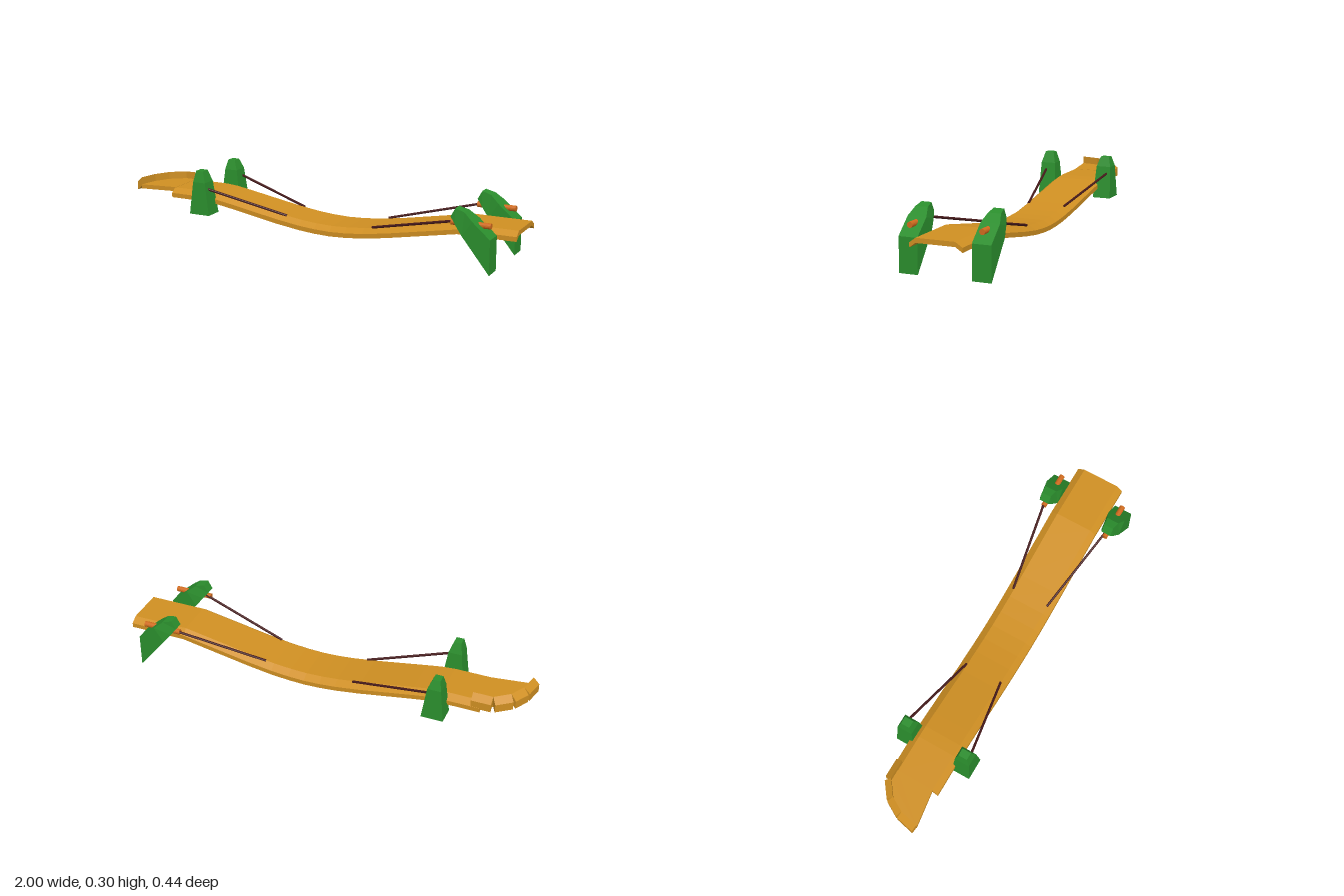
import * as THREE from 'three';

const flat = (name, color) => {
  const m = new THREE.MeshStandardMaterial({ color, flatShading: true });
  m.name = name;
  return m;
};

// Closed solid through cross-sections; every ring has the same even number of points.
function loft(rings) {
  const n = rings[0].length, tris = [];
  const quad = (a, b, c, d) => tris.push([a, b, c], [a, c, d]);
  for (let r = 0; r < rings.length - 1; r++) {
    for (let i = 0; i < n; i++) {
      const j = (i + 1) % n;
      quad(rings[r][i], rings[r][j], rings[r + 1][j], rings[r + 1][i]);
    }
  }
  const first = rings[0], last = rings[rings.length - 1];
  for (let i = 0; i < n / 2 - 1; i++) {
    const k = n - 1 - i;
    quad(first[k], first[k - 1], first[i + 1], first[i]);
    quad(last[i], last[i + 1], last[k - 1], last[k]);
  }
  // Turn the faces outward if the solid came out inverted
  const v = (p) => new THREE.Vector3(...p);
  const volume = tris.reduce((s, [a, b, c]) => s + v(a).dot(v(b).cross(v(c))), 0);
  if (volume < 0) tris.forEach((t) => t.reverse());
  const geo = new THREE.BufferGeometry();
  geo.setAttribute('position', new THREE.Float32BufferAttribute(tris.flat(2), 3));
  geo.computeVertexNormals();
  return geo;
}

export function createModel() {
  const model = new THREE.Group();
  model.name = 'saggingBridge';
  const wood = flat('golden wood', 0xcf8f22);
  const green = flat('post green', 0x2b8e2d);
  const pegOrange = flat('peg orange', 0xcf6b1d);
  const ropeBrown = flat('rope brown', 0x45191a);

  const add = (name, geo, mat) => {
    const m = new THREE.Mesh(geo, mat);
    m.name = name;
    model.add(m);
    return m;
  };
  const rod = (name, a, b, radius, sides, mat) => {
    const p = new THREE.Vector3(...a), q = new THREE.Vector3(...b);
    const m = add(name, new THREE.CylinderGeometry(radius, radius, p.distanceTo(q), sides), mat);
    m.position.copy(p).add(q).multiplyScalar(0.5);
    m.quaternion.setFromUnitVectors(new THREE.Vector3(0, 1, 0), q.sub(p).normalize());
  };

  // Deck: flat top with sloping edges, swept along a sagging line
  const profile = [[-0.13, -0.022], [-0.096, 0], [0.089, 0], [0.118, -0.022],
    [0.118, -0.044], [0.089, -0.022], [-0.096, -0.022], [-0.13, -0.044]];
  const sag = [[-0.79, 0.183], [-0.6, 0.183], [-0.54, 0.178], [-0.46, 0.165], [-0.2, 0.119],
    [-0.08, 0.102], [0, 0.095], [0.08, 0.092], [0.16, 0.095], [0.25, 0.103], [0.37, 0.121],
    [0.6, 0.163], [0.72, 0.185], [1, 0.185]];
  add('deck', loft(sag.map(([x, y]) => profile.map(([z, dy]) => [x, y + dy, z]))), wood);

  // Curved end: floor plate and raised sloping rim blocks
  const curve = [[-0.745, -0.098], [-0.84, -0.098], [-0.91, -0.045], [-0.95, 0.025], [-0.97, 0.115]];
  const outline = [[-0.785, -0.098], ...curve.slice(1), [-0.785, 0.089]];
  add('endFloor', loft([0.163, 0.184].map((y) => outline.map(([x, z]) => [x, y, z]))), wood);
  for (let i = 0; i < curve.length - 1; i++) {
    const [ax, az] = curve[i], [bx, bz] = curve[i + 1];
    const len = Math.hypot(bx - ax, bz - az);
    const ox = -(bz - az) / len * 0.031, oz = (bx - ax) / len * 0.031;
    const ring = ([x, z]) => [[x, 0.22, z], [x + ox, 0.194, z + oz],
      [x + ox, 0.154, z + oz], [x, 0.176, z]];
    add('rimBlock', loft([ring(curve[i]), ring(curve[i + 1])]), wood);
  }

  for (const side of [1, -1]) {
    // Tapered post: [y, x from, x to, z from, z to]
    const shift = side > 0 ? 0 : 0.006, drop = side > 0 ? 0 : 0.007;
    const levels = [[0.091, -0.64, -0.533, 0.102, 0.194], [0.25, -0.622, -0.556, 0.113, 0.187],
      [0.304 - drop, -0.612, -0.575, 0.128, 0.172]];
    add('taperedPost', loft(levels.map(([y, x0, x1, z0, z1]) =>
      [[x0, z0], [x1, z0], [x1, z1], [x0, z1]].map(([x, z]) => [x, y, side * (z + shift)]))), green);

    // Leaning leg: [top x, top y, top half width, bottom x, bottom y, bottom half width]
    const sections = [[0.74, 0.283, 0.024, 0.718, 0.243, 0.024], [0.785, 0.27, 0.03, 0.743, 0.211, 0.035],
      [0.828, 0.235, 0.045, 0.78, 0.165, 0.045], [0.912, 0.162, 0.045, 0.912, 0, 0.045]];
    const lz = side * 0.173;
    add('leaningLeg', loft(sections.map(([tx, ty, tw, bx, by, bw]) =>
      [[tx, ty, lz - tw], [tx, ty, lz + tw], [bx, by, lz + bw], [bx, by, lz - bw]])), green);

    // Peg through the leg
    rod('peg', [0.712, 0.212, side * 0.17], [0.9, 0.212, side * 0.17], 0.0135, 16, pegOrange);

    // Ropes from the supports down to the deck
    const high = side > 0 ? 0.163 : -0.176, low = side > 0 ? 0.088 : -0.1;
    rod('postRope', [-0.57, 0.219, high], [-0.16, 0.113, low], 0.006, 8, ropeBrown);
    rod('legRope', [0.735, 0.217, high], [0.29, 0.111, low], 0.006, 8, ropeBrown);
  }
  return model;
}
